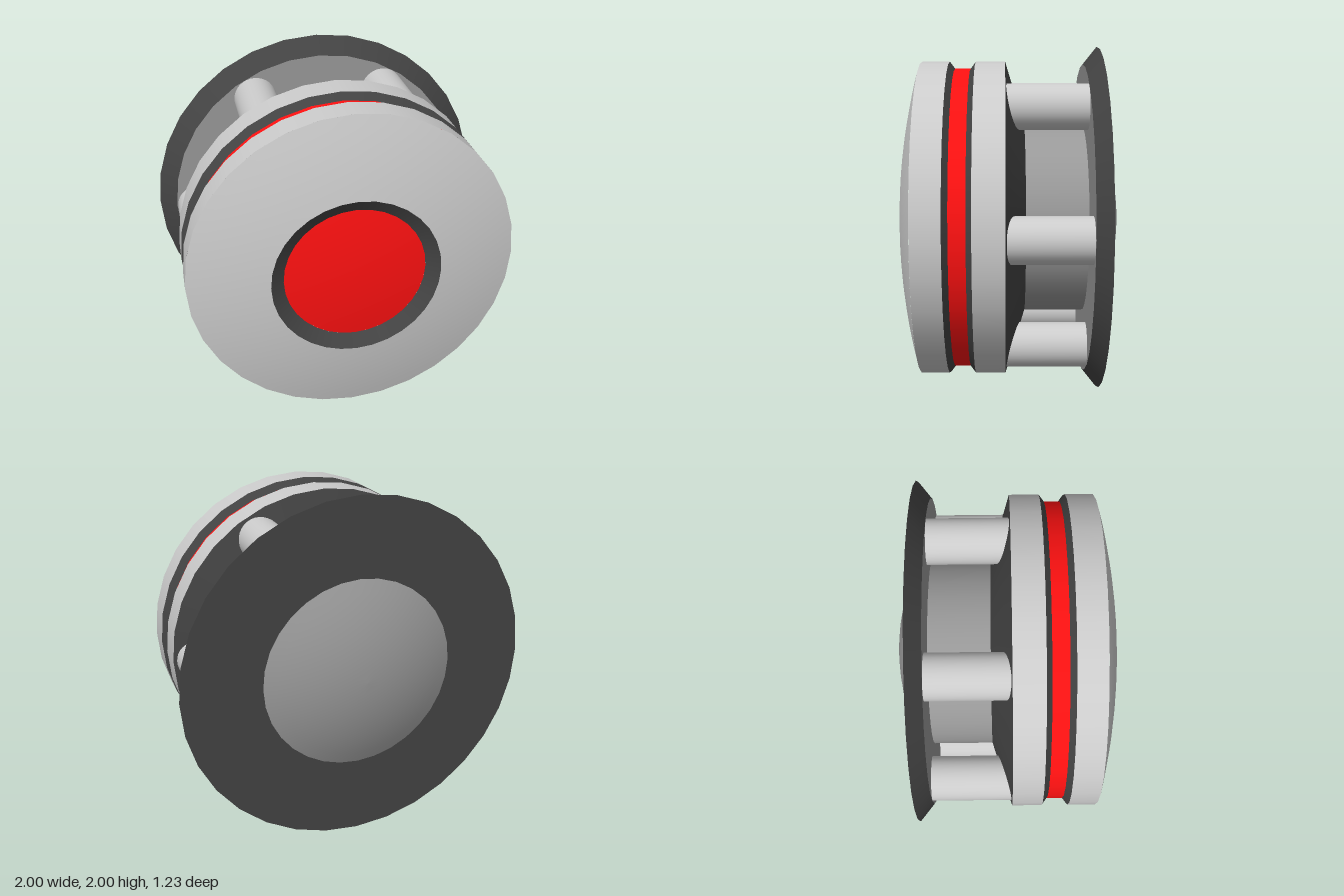
import * as THREE from 'three';
import { mergeGeometries } from 'three/addons/utils/BufferGeometryUtils.js';

const SIDES = 32;
const LIGHT = 0xcccccc, MID = 0x999999, DARK = 0x444444, RED = 0xff1111;

// Smooth sections of [radius, z] points, turned about the z axis with sharp edges between sections.
// Each section runs from the back to the front along the outside.
function turned(name, color, ...sections) {
  const geometries = sections.map((points) =>
    new THREE.LatheGeometry(points.map(([r, z]) => new THREE.Vector2(r, z)), SIDES).rotateX(Math.PI / 2));
  const mesh = new THREE.Mesh(mergeGeometries(geometries), new THREE.MeshStandardMaterial({ color }));
  mesh.name = name;
  return mesh;
}

// Points of a shallow dome between two radii; depth(r) gives z.
function domePoints(r0, r1, depth, steps = 8) {
  return Array.from({ length: steps + 1 }, (_, i) => {
    const r = r0 + (r1 - r0) * i / steps;
    return [r, depth(r)];
  });
}

export function createModel() {
  const model = new THREE.Group();
  const body = new THREE.Group();
  body.name = 'body';
  body.position.y = 1;
  model.add(body);

  // Rear dome and flange
  body.add(
    turned('rearDome', MID, domePoints(0, 0.55, (r) => -0.615 + 0.125 * (r / 0.55) ** 2)),
    turned('flange', DARK, [[0.55, -0.49], [1, -0.49]], [[1, -0.49], [0.9, -0.41]]),
    turned('flangeFace', MID, [[0.9, -0.41], [0.55, -0.41]]),
    turned('core', MID, [[0.55, -0.41], [0.55, -0.07]]),
  );

  // Head: dark cone, two light drums and the red band in the groove between them
  body.add(
    turned('headCone', DARK, [[0.55, -0.07], [0.915, 0.04]]),
    turned('rearDrum', LIGHT, [[0.915, 0.04], [0.915, 0.21]]),
    turned('groove', DARK, [[0.915, 0.21], [0.875, 0.24]], [[0.875, 0.33], [0.915, 0.36]]),
    turned('band', RED, [[0.875, 0.24], [0.875, 0.33]]),
    turned('frontDrum', LIGHT, [[0.915, 0.36], [0.915, 0.52]],
      domePoints(0.915, 0.47, (r) => 0.615 - (r * r - 0.221) / 6.5)),
  );

  // Bevelled recess with the red lens
  body.add(
    turned('lensBezel', DARK, [[0.47, 0.615], [0.395, 0.565]]),
    turned('lens', RED, domePoints(0.395, 0, (r) => 0.59 - r * r / 6.2)),
  );

  // Ring of six posts between flange and head
  for (let i = 0; i < 6; i++) {
    const angle = i * Math.PI / 3;
    const post = new THREE.Mesh(
      new THREE.CylinderGeometry(0.125, 0.125, 0.45, SIDES).rotateX(Math.PI / 2),
      new THREE.MeshStandardMaterial({ color: LIGHT }));
    post.name = 'post' + (i + 1);
    post.position.set(0.77 * Math.cos(angle), 0.77 * Math.sin(angle), -0.185);
    body.add(post);
  }
  return model;
}
